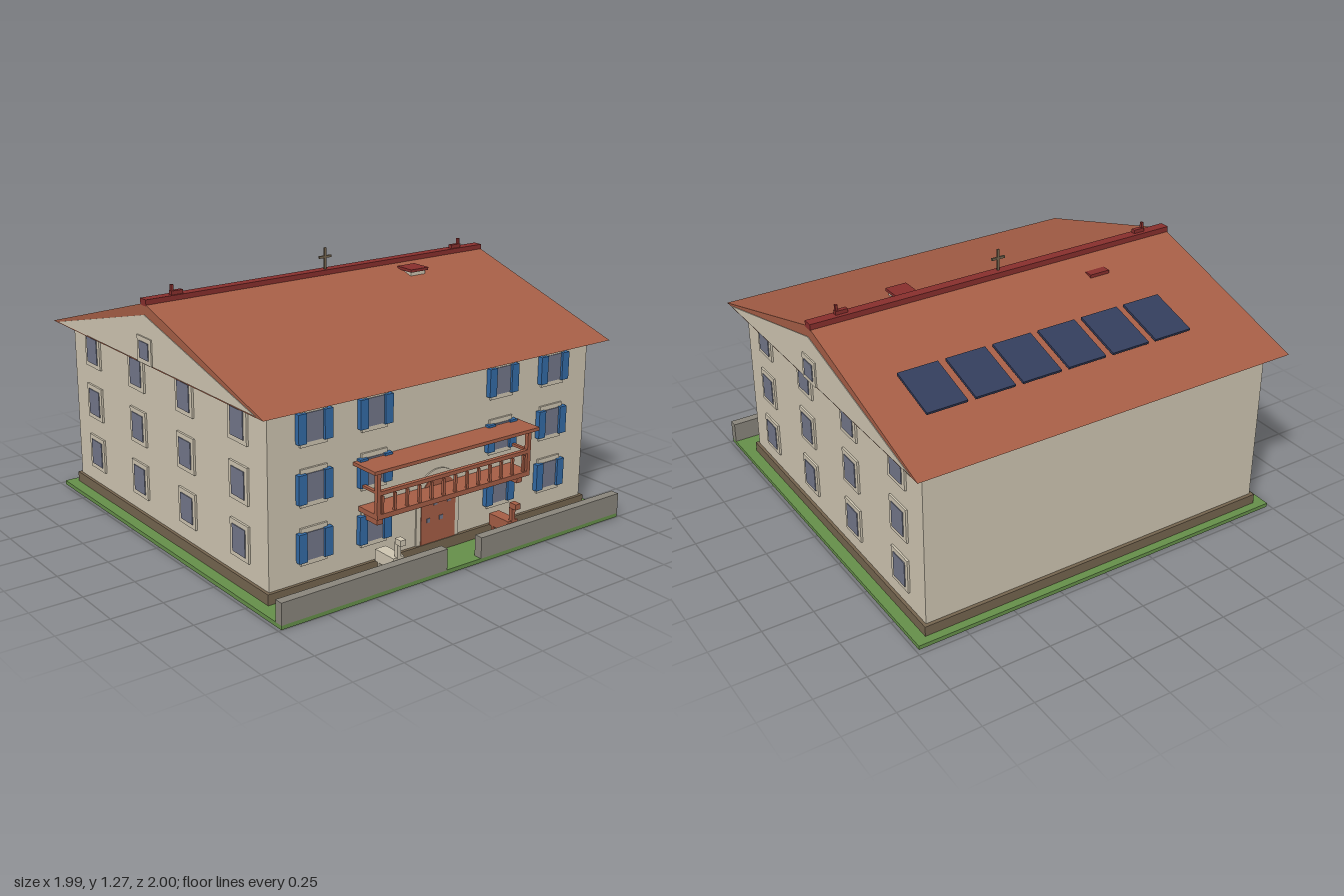
import * as THREE from 'three';

const mat = (name, color) => {
  const m = new THREE.MeshStandardMaterial({ color });
  m.name = name;
  return m;
};

export function createModel() {
  const model = new THREE.Group();
  model.name = 'house';
  const plaster = mat('cream plaster', 0xcfc6b2);
  const tile = mat('roof tile and wood', 0xa65e46);
  const ridgeRed = mat('dark red', 0x882f2d);
  const grass = mat('grass', 0x66904a);
  const stone = mat('grey stone', 0x8a867c);
  const brown = mat('brown plinth', 0x75654f);
  const blue = mat('blue shutter', 0x336ba6);
  const glass = mat('window glass', 0x73778a);
  const navy = mat('solar panel', 0x333d5c);

  const add = (parent, name, geo, m) => {
    const mesh = new THREE.Mesh(geo, m);
    mesh.name = name;
    parent.add(mesh);
    return mesh;
  };
  // box given by its extents on each axis
  const box = (parent, name, m, x0, x1, y0, y1, z0, z1) => {
    const mesh = add(parent, name, new THREE.BoxGeometry(x1 - x0, y1 - y0, z1 - z0), m);
    mesh.position.set((x0 + x1) / 2, (y0 + y1) / 2, (z0 + z1) / 2);
    return mesh;
  };
  const group = (name, parent = model) => {
    const g = new THREE.Group();
    g.name = name;
    parent.add(g);
    return g;
  };

  // ground, plinth and walls
  box(model, 'ground', grass, -0.985, 0.985, 0, 0.02, -0.97, 0.998);
  box(model, 'plinth', brown, -0.93, 0.93, 0.02, 0.07, -0.93, 0.82);
  box(model, 'walls', plaster, -0.915, 0.915, 0.07, 0.868, -0.912, 0.805);

  // roof: triangular prism running along x, with inset plaster gables
  const prism = (zBack, zFront, yBase, yTop, half) => {
    const s = new THREE.Shape([
      new THREE.Vector2(-zFront, yBase),
      new THREE.Vector2(-zBack, yBase),
      new THREE.Vector2(0.055, yTop),
    ]);
    const g = new THREE.ExtrudeGeometry(s, { depth: half * 2, bevelEnabled: false });
    return g.translate(0, 0, -half).rotateY(Math.PI / 2);
  };
  add(model, 'roof', prism(-1, 0.885, 0.866, 1.152, 0.983), tile);
  add(model, 'gables', prism(-0.94, 0.83, 0.872, 1.098, 0.986), plaster);
  box(model, 'ridgeCap', ridgeRed, -0.985, 0.985, 1.14, 1.17, -0.085, -0.035);

  // ridge ornaments and cross
  for (const s of [-1, 1]) {
    const g = group('ridgeOrnament');
    g.position.x = s * 0.82;
    box(g, 'ornamentBase', ridgeRed, -0.03, 0.03, 1.17, 1.188, -0.066, -0.044);
    const x = s * 0.022;
    box(g, 'ornamentTip', ridgeRed, x - 0.006, x + 0.006, 1.188, 1.216, -0.062, -0.048);
  }
  const cross = group('cross');
  box(cross, 'crossPost', brown, -0.005, 0.005, 1.17, 1.275, -0.06, -0.05);
  box(cross, 'crossArm', brown, -0.035, 0.035, 1.225, 1.236, -0.06, -0.05);

  // chimney and rear roof hatch
  box(model, 'chimney', plaster, 0.41, 0.5, 1.07, 1.127, 0.02, 0.095);
  box(model, 'chimneyCap', ridgeRed, 0.4, 0.508, 1.127, 1.141, 0.002, 0.11);
  box(model, 'roofHatch', ridgeRed, -0.51, -0.403, 1.08, 1.113, -0.238, -0.194);

  // solar panels on the rear slope
  const panels = group('solarPanels');
  for (let i = 0; i < 6; i++) {
    const p = add(panels, 'solarPanel', new THREE.BoxGeometry(0.2, 0.012, 0.258), navy);
    p.position.set(-0.52 + i * 0.239, 1.011, -0.595);
    p.rotation.x = -0.285;
  }

  // window built facing +z at the origin
  const makeWindow = (w, h, shutters) => {
    const g = group(shutters ? 'shutteredWindow' : 'window');
    box(g, 'windowFrame', plaster, -w / 2 - 0.022, w / 2 + 0.022, -h / 2 - 0.022, h / 2 + 0.022, -0.005, 0.01);
    box(g, 'windowGlass', glass, -w / 2, w / 2, -h / 2, h / 2, 0, 0.014);
    if (shutters) {
      for (const s of [-1, 1]) {
        const x = s * (w / 2 + 0.02);
        box(g, 'shutter', blue, x - 0.021, x + 0.021, -h / 2 - 0.003, h / 2 + 0.003, 0, 0.025);
      }
    }
    return g;
  };
  for (const y of [0.235, 0.5, 0.767]) {
    for (const x of [-0.687, -0.367, 0.367, 0.687]) {
      makeWindow(0.094, 0.127, true).position.set(x, y, 0.805);
    }
    for (const z of [0.595, 0.16, -0.273, -0.708]) {
      for (const s of [-1, 1]) {
        const w = makeWindow(0.1, 0.127, false);
        w.position.set(s * 0.915, y, z);
        w.rotation.y = (s * Math.PI) / 2;
      }
    }
  }
  for (const s of [-1, 1]) {
    const w = makeWindow(0.08, 0.08, false);
    w.name = 'gableWindow';
    w.position.set(s * 0.983, 0.935, -0.055);
    w.rotation.y = (s * Math.PI) / 2;
  }

  // arched door with surround and small panes
  const arch = (half, top, depth) => {
    const s = new THREE.Shape();
    s.moveTo(-half, 0.03);
    s.lineTo(half, 0.03);
    s.lineTo(half, top - half);
    s.absarc(0, top - half, half, 0, Math.PI, false);
    s.closePath();
    return new THREE.ExtrudeGeometry(s, { depth, bevelEnabled: false, curveSegments: 16 });
  };
  const door = group('door');
  add(door, 'doorSurround', arch(0.125, 0.42, 0.01), plaster).position.z = 0.802;
  add(door, 'doorLeaf', arch(0.1, 0.39, 0.014), tile).position.z = 0.802;
  for (const [x, y] of [[-0.02, 0.26], [0.06, 0.26], [-0.06, 0.183], [0.015, 0.183]]) {
    box(door, 'doorPane', glass, x - 0.01, x + 0.01, y - 0.01, y + 0.01, 0.814, 0.819);
  }

  // balcony
  const balcony = group('balcony');
  box(balcony, 'balconyFloor', tile, -0.445, 0.445, 0.322, 0.345, 0.805, 0.935);
  box(balcony, 'balconyRoof', tile, -0.476, 0.476, 0.54, 0.556, 0.805, 0.955);
  box(balcony, 'handrail', tile, -0.445, 0.445, 0.432, 0.45, 0.915, 0.935);
  for (const s of [-1, 1]) {
    const x = s * 0.436;
    box(balcony, 'balconyPost', tile, x - 0.01, x + 0.01, 0.345, 0.54, 0.915, 0.935);
    box(balcony, 'sideRail', tile, x - 0.008, x + 0.008, 0.438, 0.45, 0.805, 0.915);
    const b = s * 0.408;
    box(balcony, 'bracket', tile, b - 0.016, b + 0.016, 0.285, 0.322, 0.805, 0.908);
  }
  for (let i = -6; i <= 6; i++) {
    const x = i * 0.0685;
    box(balcony, 'baluster', tile, x - 0.006, x + 0.006, 0.345, 0.425, 0.919, 0.931);
  }

  // garden walls either side of the entrance
  box(model, 'gardenWall', stone, -0.985, -0.1, 0.02, 0.122, 0.957, 1);
  box(model, 'gardenWall', stone, 0.1, 0.985, 0.02, 0.122, 0.957, 1);

  // two animals in the front yard
  const animal = (x, m) => {
    const g = group('animal');
    g.position.x = x;
    box(g, 'body', m, -0.03, 0.03, 0.073, 0.13, 0.825, 0.952);
    box(g, 'neck', m, -0.01, 0.01, 0.125, 0.2, 0.935, 0.955);
    box(g, 'head', m, -0.015, 0.015, 0.193, 0.22, 0.942, 0.982);
    for (const lx of [-0.022, 0.022]) {
      for (const z of [0.845, 0.928]) {
        box(g, 'leg', m, lx - 0.006, lx + 0.006, 0.02, 0.075, z - 0.006, z + 0.006);
      }
    }
  };
  animal(-0.338, plaster);
  animal(0.335, tile);

  return model;
}
